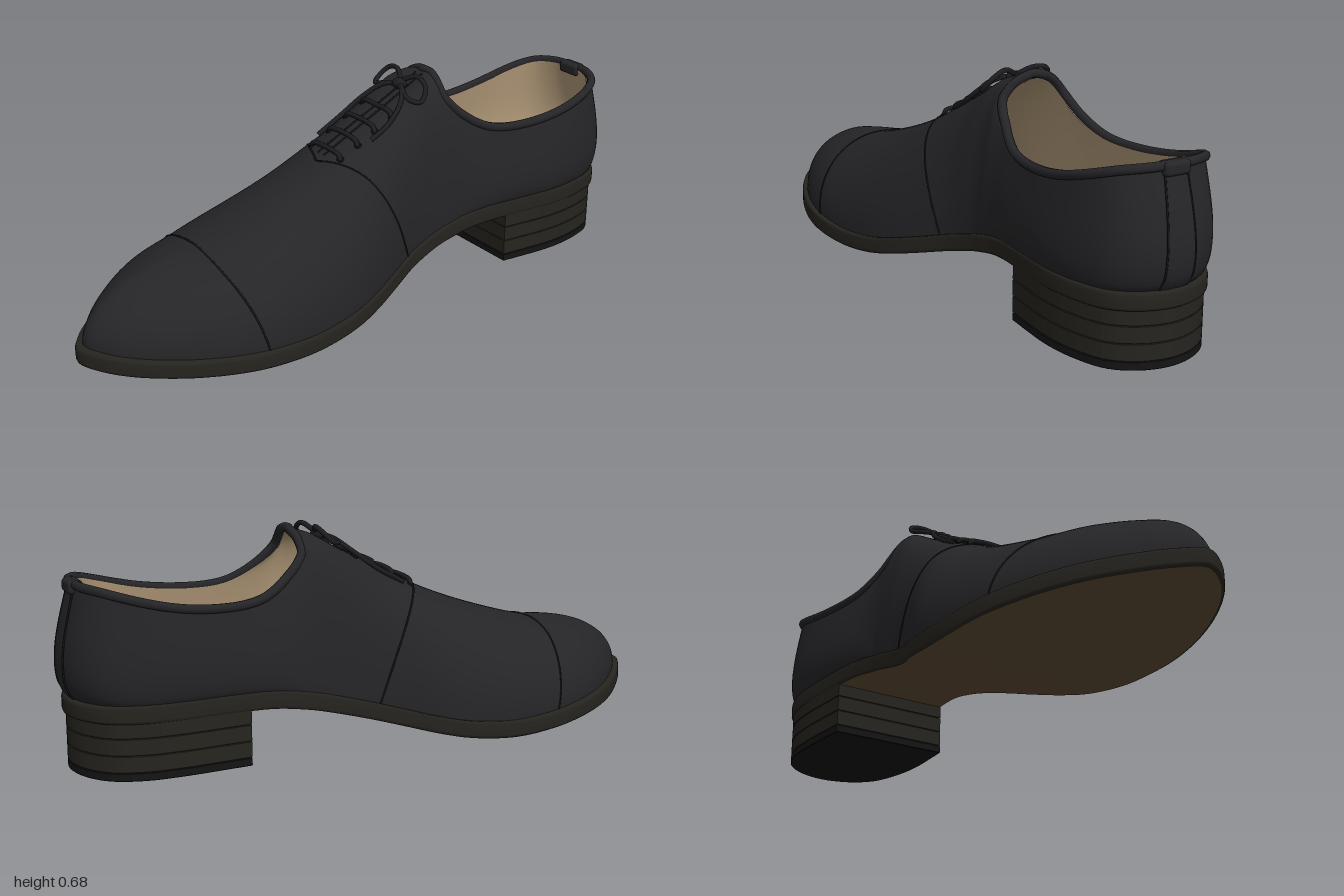
import * as THREE from 'three';
import { mergeVertices } from 'three/addons/utils/BufferGeometryUtils.js';
import { RoundedBoxGeometry } from 'three/addons/geometries/RoundedBoxGeometry.js';

const { lerp, smoothstep } = THREE.MathUtils;
const V = (x, y, z) => new THREE.Vector3(x, y, z);
const mat = (color, side = THREE.FrontSide) => new THREE.MeshStandardMaterial({ color, side });

// Sole stations from heel to toe: z, x on each side
const SOLE = [
  [-0.985, -0.01, -0.01], [-0.965, -0.10, 0.08], [-0.91, -0.175, 0.15], [-0.82, -0.215, 0.185],
  [-0.70, -0.225, 0.20], [-0.55, -0.22, 0.19], [-0.42, -0.215, 0.175], [-0.34, -0.215, 0.165],
  [-0.28, -0.215, 0.165], [-0.24, -0.22, 0.165], [-0.19, -0.225, 0.17], [-0.10, -0.235, 0.19],
  [0, -0.26, 0.23], [0.10, -0.30, 0.27], [0.20, -0.325, 0.30], [0.35, -0.338, 0.325],
  [0.50, -0.325, 0.335], [0.60, -0.295, 0.325], [0.70, -0.25, 0.30], [0.80, -0.185, 0.26],
  [0.90, -0.09, 0.20], [0.965, -0.01, 0.135], [1.0, 0.06, 0.06],
];
// Top edge of the opening at the first stations: z, y, half width
const OPENING = [
  [-0.945, 0.548, 0], [-0.94, 0.547, 0.07], [-0.90, 0.54, 0.14], [-0.82, 0.517, 0.18], [-0.70, 0.488, 0.192],
  [-0.55, 0.474, 0.182], [-0.43, 0.487, 0.16], [-0.34, 0.54, 0.13], [-0.285, 0.60, 0.105], [-0.285, 0.647, 0.06],
];
// Ridge from the throat to the toe cap: z, y
const RIDGE = [
  [-0.285, 0.665], [-0.15, 0.60], [0, 0.53], [0.10, 0.48], [0.20, 0.435],
  [0.33, 0.385], [0.48, 0.337], [0.58, 0.31], [0.60, 0.305],
];
const LAST = SOLE.length - 1, N = 2 * LAST;
const THROAT = OPENING.length, POLE = THROAT + RIDGE.length - 1;

// Height of the sole's upper face: raised heel seat and toe spring
const soleY = (z) => 0.06 + 0.16 * (1 - smoothstep(z, -0.5, 0.35)) + 0.055 * Math.pow(Math.max(0, (z - 0.35) / 0.65), 1.5);

// Closed curves around the shoe; k counts stations, negative k is the +x side
const loop = (f) => new THREE.CatmullRomCurve3(
  Array.from({ length: N }, (_, i) => (i <= LAST ? f(i, 0) : f(N - i, 1))), true);
const baseCurve = loop((i, s) => V(SOLE[i][1 + s], soleY(SOLE[i][0]), SOLE[i][0]));
const spineCurve = loop((i) => V((SOLE[i][1] + SOLE[i][2]) / 2, soleY(SOLE[i][0]), SOLE[i][0]));
const topCurve = loop((i, s) => {
  const [z, y, half = 0] = i < THROAT ? OPENING[i] : RIDGE[Math.min(i, POLE) - THROAT];
  return V(-0.015 + (s ? half : -half), y, z);
});
const at = (curve, k) => curve.getPoint((((k / N) % 1) + 1) % 1);

// Point of the sole outline drawn in towards the spine by factor s
function soleAt(k, s, dy = 0) {
  const b = at(baseCurve, k), c = at(spineCurve, k);
  return V(lerp(c.x, b.x, s), b.y + dy, b.z * (s > 0.8 ? 1 - (1 - s) * 0.5 : 0.9));
}

// Leather surface: v runs from the sole to the top edge
function upperAt(k, v) {
  if (k > LAST) k -= N;
  const a = Math.abs(k), b = soleAt(k, 0.955, -0.006), c = at(spineCurve, k);
  const t = at(topCurve, Math.sign(k) * Math.min(a, POLE));
  if (a >= THROAT) t.x = lerp(-0.015, 0.03, smoothstep(a, THROAT, 17));
  const round = smoothstep(b.z, -0.45, -0.15);
  const fullness = lerp(0.65, 1, smoothstep(b.z, -0.2, 0.35));
  const phi = v * Math.PI / 2;
  const across = lerp(v, 1 - Math.pow(Math.max(0, Math.cos(phi)), fullness), round);
  const up = lerp(v, Math.sin(phi), round);
  const bulge = Math.sin(Math.PI * Math.pow(v, 0.65)) * (1 - round);
  return V(
    lerp(b.x, t.x, across) + (b.x - c.x) * 0.1 * bulge,
    lerp(b.y, t.y, up),
    lerp(b.z, t.z, across) - 0.036 * bulge * smoothstep(-b.z, 0.75, 0.97));
}

// Smooth surface from a point rule over a grid
function grid(f, nu, nv, closed) {
  const pos = [], idx = [], cols = closed ? nu : nu + 1;
  for (let j = 0; j <= nv; j++)
    for (let i = 0; i < cols; i++) pos.push(...f(i / nu, j / nv).toArray());
  for (let j = 0; j < nv; j++)
    for (let i = 0; i < nu; i++) {
      const a = j * cols + i, b = j * cols + (i + 1) % cols;
      idx.push(a, b, a + cols, b, b + cols, a + cols);
    }
  let g = new THREE.BufferGeometry();
  g.setAttribute('position', new THREE.Float32BufferAttribute(pos, 3));
  g.setIndex(idx);
  g = mergeVertices(g, 1e-4);
  g.computeVertexNormals();
  return g;
}

export function createModel() {
  const shoe = new THREE.Group();
  const leather = mat(0x252528), edge = mat(0x26241f), lace = mat(0x1d1d20), seamMat = mat(0x131314);
  const add = (name, geo, m, parent = shoe) => {
    const mesh = new THREE.Mesh(geo, m);
    mesh.name = name;
    parent.add(mesh);
    return mesh;
  };
  const cord = (name, pts, r, m, closed = false, parent = shoe) => add(name,
    new THREE.TubeGeometry(new THREE.CatmullRomCurve3(pts, closed), pts.length * 4, r, 8, closed), m, parent);

  // Upper, and the lining just inside it
  const upperGeo = grid((u, v) => upperAt(u * N, v), N * 4, 28, true);
  const upper = add('upper', upperGeo, leather);
  const liningGeo = upperGeo.clone();
  const p = liningGeo.attributes.position, n = liningGeo.attributes.normal;
  for (let i = 0; i < p.count; i++)
    p.setXYZ(i, p.getX(i) - n.getX(i) * 0.015, p.getY(i) - n.getY(i) * 0.015, p.getZ(i) - n.getZ(i) * 0.015);
  liningGeo.computeVertexNormals();
  add('lining', liningGeo, mat(0xb39b7a, THREE.BackSide));
  add('insole', grid((u, v) => soleAt(u * N, 0.94 * (1 - v), 0.015), N * 4, 6, true), mat(0xb39b7a));

  // Rolled edge around the opening
  const rim = [];
  for (let k = -THROAT; k < THROAT; k += 0.5) rim.push(upperAt(k, 1));
  cord('openingEdge', rim, 0.014, leather, true);

  // Back strip with a small tab over the rim
  add('backStrip', grid((u, v) => upperAt(lerp(-0.5, 0.5, u), v).add(V(0, 0, -0.005)), 8, 16, false),
    mat(0x252528, THREE.DoubleSide));
  add('backTab', new RoundedBoxGeometry(0.085, 0.04, 0.045, 3, 0.012), leather).position.set(-0.015, 0.54, -0.945);

  // Seams: toe cap, vamp and back strip
  const seam = (name, k0, k1) => {
    const pts = [];
    for (let i = -20; i <= 20; i++) {
      const v = 1 - Math.abs(i) / 20;
      pts.push(upperAt((i < 0 ? 1 : -1) * lerp(k0, k1, v), v));
    }
    cord(name, pts, 0.003, seamMat);
  };
  seam('toeCapSeam', 16.3, 17.4);
  seam('vampSeam', 11.2, 13.45);
  for (const k of [-0.5, 0.5])
    cord('backSeam', Array.from({ length: 9 }, (_, i) => upperAt(k, i / 8).add(V(0, 0, -0.004))), 0.003, seamMat);

  // Sole: rounded edge, welt and brown underside
  const edgeProfile = [[0.975, -0.054], [0.995, -0.05], [1, -0.043], [1, -0.01], [0.995, -0.003], [0.985, 0], [0.9, 0]];
  add('soleEdge', grid((u, v) => soleAt(u * N, ...edgeProfile[Math.round(v * 6)]), N * 4, 6, true), edge);
  add('soleUnderside', grid((u, v) => {
    const q = soleAt(u * N, 0.975, -0.054);
    q.x = lerp(at(spineCurve, u * N).x, q.x, v);
    return q;
  }, N * 4, 6, true), mat(0x5e4a35));

  // Stacked heel: lifts between the ground and the sole
  const outline = [];
  for (let k = -5.4; k <= 5.41; k += 0.2) {
    const q = soleAt(k, 0.975);
    outline.push(new THREE.Vector2(q.x, Math.min(q.z, -0.49)));
  }
  const heel = new THREE.Group();
  heel.name = 'heel';
  shoe.add(heel);
  const levels = [0, 0.025, 0.075, 0.125, 0.175];
  for (let i = 0; i < 4; i++) {
    const g = new THREE.ExtrudeGeometry(new THREE.Shape(outline), {
      depth: levels[i + 1] - levels[i] - 0.004, bevelThickness: 0.002, bevelSize: 0.002, bevelSegments: 1 });
    g.rotateX(Math.PI / 2).translate(0, levels[i + 1] - 0.002, 0);
    add(i ? 'heelLift' : 'heelTopPiece', g, i ? edge : mat(0x141414), heel);
  }

  // Laces lie on the upper: each point is dropped onto it, then lifted
  const ray = new THREE.Raycaster();
  const rest = ([x, z, lift]) => {
    ray.set(V(x, 2, z), V(0, -1, 0));
    return V(x, ray.intersectObject(upper)[0].point.y + lift, z);
  };
  const laces = new THREE.Group();
  laces.name = 'laces';
  shoe.add(laces);
  for (const z of [0.1, 0.035, -0.03, -0.095]) {
    const xs = [-0.085, -0.078, -0.045, -0.008, 0.03, 0.062, 0.07];
    cord('laceBar', xs.map((x, i) => rest([x, z, i % 6 ? 0.011 : -0.006])), 0.008, lace, false, laces);
    for (const x of [-0.085, 0.07]) {
      const eyelet = add('eyelet', new THREE.TorusGeometry(0.009, 0.003, 6, 12), seamMat, laces);
      eyelet.position.copy(rest([x, z, 0.003]));
      eyelet.rotation.set(-Math.PI / 2 + 0.4, x * 5, 0);
    }
  }

  // Edges of the facings over the tongue
  for (const x of [-0.024, 0.008])
    cord('facingEdge', [0.12, 0.04, -0.04, -0.12, -0.2, -0.26].map((z) => rest([x, z, 0.001])), 0.003, seamMat, false, laces);

  // Bow: knot, two loops and two hanging ends
  const cx = -0.012, kz = -0.185;
  const knot = add('bowKnot', new THREE.SphereGeometry(0.024, 16, 12), lace, laces);
  knot.scale.set(1.15, 0.75, 0.9);
  knot.position.copy(rest([cx, kz, 0.02]));
  for (const s of [-1, 1]) {
    cord('bowLoop', [[0, kz, 0.022], [0.05, -0.215, 0.028], [0.095, -0.215, 0.03], [0.112, -0.185, 0.026],
      [0.085, -0.155, 0.022], [0.04, -0.165, 0.022]].map(([x, z, l]) => rest([cx + s * x, z, l])), 0.008, lace, true, laces);
    const len = s < 0 ? 1 : 0.75;
    cord('laceEnd', [[0, 0, 0.02], [0.045, 0.03, 0.024], [0.08, 0.08, 0.018], [0.098, 0.16, 0.012], [0.1, 0.245, 0.01]]
      .map(([x, z, l]) => rest([cx + s * x, kz + z * len, l])), 0.008, lace, false, laces);
  }
  return shoe;
}
